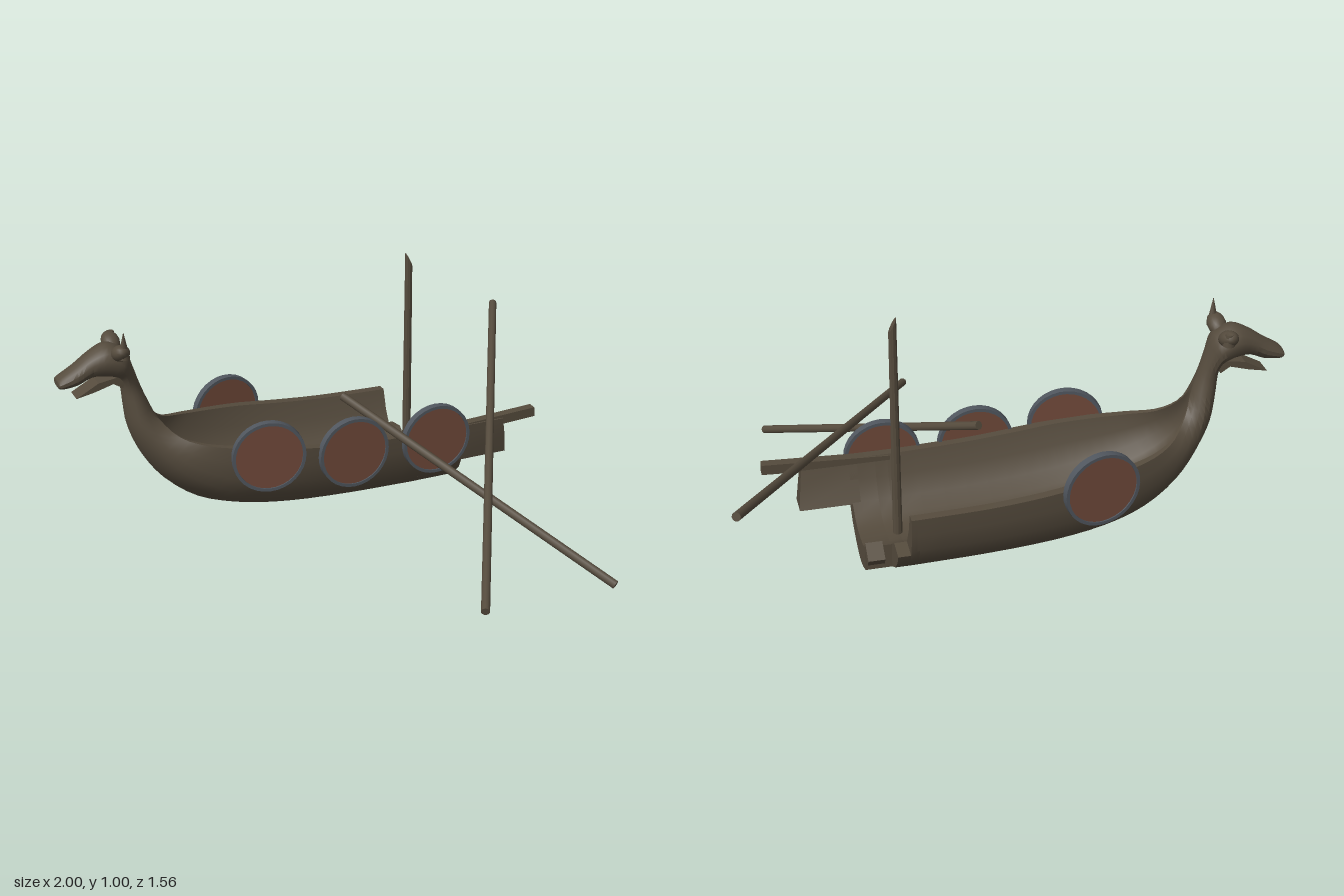
import * as THREE from 'three';
import { toCreasedNormals } from 'three/addons/utils/BufferGeometryUtils.js';

const wood = new THREE.MeshStandardMaterial({ color: 0x554b3d, side: THREE.DoubleSide });
const leather = new THREE.MeshStandardMaterial({ color: 0x70493a });
const iron = new THREE.MeshStandardMaterial({ color: 0x50565e, side: THREE.DoubleSide });

// Half cross-section as [half-width share, height share]: outer skin keel to rail, inner skin rail to floor
const OUTER = [[0, 0], [0.17, 0.02], [0.4, 0.09], [0.65, 0.21], [0.83, 0.36], [0.94, 0.55], [0.99, 0.78], [1, 1]];
const INNER = [[0.86, 1], [0.76, 0.75], [0.6, 0.52], [0.4, 0.4], [0.2, 0.345], [0, 0.34]];

// Closed ring; k blends from open hull (0) to solid oval neck (1)
function section(k) {
  const mix = THREE.MathUtils.lerp;
  const out = OUTER.map(([f, v], i) => {
    const a = Math.PI * i / (OUTER.length - 1);
    return [mix(f, Math.sin(a), k), mix(v, (1 - Math.cos(a)) / 2, k)];
  });
  const inn = INNER.map(([f, v]) => [f * (1 - k), mix(v, 1, k)]);
  const flip = ([f, v]) => [-f, v];
  return [
    ...out.slice(1).reverse().map(flip), ...out,
    ...inn, ...inn.slice(0, -1).reverse().map(flip),
  ];
}

// Stations from stern to snout: keel x, keel y, top x, top y, half-width, solidity
const STATIONS = [
  [0.37, 0.047, 0.37, 0.35, 0.24, 0],
  [0.1, 0.055, 0.12, 0.358, 0.242, 0],
  [-0.15, 0.072, -0.08, 0.375, 0.24, 0],
  [-0.35, 0.105, -0.23, 0.395, 0.23, 0],
  [-0.5, 0.16, -0.37, 0.412, 0.205, 0],
  [-0.62, 0.255, -0.49, 0.43, 0.168, 0],
  [-0.7, 0.37, -0.58, 0.458, 0.125, 0.1],
  [-0.745, 0.48, -0.64, 0.52, 0.09, 0.45],
  [-0.758, 0.57, -0.67, 0.59, 0.062, 0.85],
  [-0.764, 0.64, -0.695, 0.66, 0.046, 1],
  [-0.772, 0.68, -0.72, 0.74, 0.055, 1],
  [-0.79, 0.7, -0.745, 0.8, 0.072, 1],
  [-0.83, 0.71, -0.81, 0.832, 0.07, 1],
  [-0.875, 0.712, -0.875, 0.806, 0.057, 1],
  [-0.93, 0.69, -0.93, 0.768, 0.052, 1],
  [-0.985, 0.685, -0.985, 0.734, 0.045, 1],
  [-1, 0.695, -1, 0.72, 0.036, 1],
  [-1, 0.708, -1, 0.708, 0, 1],
];

function hullGeometry() {
  const curve = (pick) => new THREE.CatmullRomCurve3(
    STATIONS.map((s) => new THREE.Vector3(...pick(s))), false, 'catmullrom');
  const keel = curve((s) => [s[0], s[1], s[5]]);
  const rail = curve((s) => [s[2], s[3], s[4]]);
  const steps = (STATIONS.length - 1) * 3, n = section(0).length;
  const pos = [], idx = [];
  for (let i = 0; i <= steps; i++) {
    const a = keel.getPoint(i / steps), b = rail.getPoint(i / steps);
    for (const [f, v] of section(THREE.MathUtils.clamp(a.z, 0, 1))) {
      pos.push(a.x + (b.x - a.x) * v, a.y + (b.y - a.y) * v, Math.max(b.z, 0) * f);
    }
    if (i === steps) break;
    for (let j = 0; j < n; j++) {
      const p = i * n + j, q = i * n + (j + 1) % n;
      idx.push(p, q, p + n, q, q + n, p + n);
    }
  }
  const g = new THREE.BufferGeometry();
  g.setAttribute('position', new THREE.Float32BufferAttribute(pos, 3));
  g.setIndex(idx);
  return toCreasedNormals(g, 0.6);
}

// Straight piece of hull cross-section between two x positions
function sternPiece(points, x0, x1) {
  const shape = new THREE.Shape(points.map(([f, v]) => new THREE.Vector2(-f * 0.24, 0.047 + v * 0.303)));
  const g = new THREE.ExtrudeGeometry(shape, { depth: x1 - x0, bevelEnabled: false });
  return toCreasedNormals(g.rotateY(Math.PI / 2).translate(x0, 0, 0), 0.6);
}

function add(parent, name, geometry, material = wood) {
  const m = new THREE.Mesh(geometry, material);
  m.name = name;
  parent.add(m);
  return m;
}

function makeShield(x, y, z, turn) {
  const shield = new THREE.Group();
  shield.name = 'shield';
  add(shield, 'shieldFace', new THREE.CylinderGeometry(0.13, 0.13, 0.018, 32).rotateX(Math.PI / 2), leather);
  const profile = [[0.128, -0.014], [0.14, -0.014], [0.14, 0.014], [0.128, 0.014], [0.128, -0.014]]
    .map((p) => new THREE.Vector2(...p));
  const rim = new THREE.LatheGeometry(profile, 32).rotateX(Math.PI / 2);
  add(shield, 'shieldRim', toCreasedNormals(rim, 0.6), iron);
  shield.position.set(x, y, z);
  shield.rotation.y = turn;
  return shield;
}

function addOar(parent, from, to) {
  const a = new THREE.Vector3(...from), b = new THREE.Vector3(...to);
  const oar = add(parent, 'oar', new THREE.CylinderGeometry(0.016, 0.016, a.distanceTo(b), 10));
  oar.position.copy(a).lerp(b, 0.5);
  oar.quaternion.setFromUnitVectors(new THREE.Vector3(0, 1, 0), b.sub(a).normalize());
}

export function createModel() {
  const model = new THREE.Group();
  model.name = 'wreckedLongship';
  const ship = new THREE.Group();
  ship.name = 'ship';
  ship.position.z = -0.375;
  model.add(ship);

  // Hull sweeping up into neck and beast head
  add(ship, 'hullAndFigurehead', hullGeometry());

  // Broken stern, losing more of the far wall at each step
  const ring = section(0);
  add(ship, 'sternEnd', sternPiece(ring, 0.36, 0.39));
  add(ship, 'brokenWallStep', sternPiece([[-0.9, 0.48], ...ring.filter(([f, v]) => f > -0.84 && (f > 0 || v < 0.55))], 0.39, 0.435));
  add(ship, 'brokenFloor', sternPiece(ring.filter(([f]) => f > -0.5), 0.435, 0.53));
  const wall = sternPiece([[0.93, 0.5], [0.99, 0.78], [1, 1], [0.86, 1], [0.76, 0.75], [0.58, 0.5]], 0.5, 0.72);
  const wp = wall.attributes.position;
  for (let i = 0; i < wp.count; i++) {
    if (wp.getX(i) > 0.6) wp.setX(i, 0.72 - (wp.getY(i) - 0.2) * 0.15);
  }
  add(ship, 'brokenWall', wall);
  const splinter = add(ship, 'splinteredFloor', new THREE.BoxGeometry(0.06, 0.035, 0.07));
  splinter.position.set(0.5, 0.16, -0.125);
  splinter.rotation.x = -0.6;
  const rail = add(ship, 'brokenRail', new THREE.BoxGeometry(0.46, 0.038, 0.035));
  rail.position.set(0.61, 0.338, 0.217);
  rail.rotation.z = 0.05;

  // Lower jaw
  const jaw = new THREE.Shape([[-0.94, 0.648], [-0.87, 0.662], [-0.8, 0.682], [-0.765, 0.66], [-0.75, 0.71], [-0.855, 0.694]]
    .map((p) => new THREE.Vector2(...p)));
  add(ship, 'lowerJaw', new THREE.ExtrudeGeometry(jaw, { depth: 0.07, bevelEnabled: false }).translate(0, 0, -0.035));

  // Ears: one whole, one snapped short
  for (const s of [1, -1]) {
    const ear = add(ship, 'ear', new THREE.SphereGeometry(1, 16, 10));
    ear.scale.set(0.034, 0.03, 0.05);
    ear.position.set(-0.775, 0.808, s * 0.06);
    ear.rotation.x = -s * 0.45;
    const tall = s > 0 ? 0.1 : 0.045;
    const tip = add(ship, 'earTip', new THREE.CylinderGeometry(s > 0 ? 0.001 : 0.014, 0.022, tall, 10));
    tip.position.set(-0.768, 0.795 + tall / 2, s * 0.084);
    tip.rotation.x = s * 0.08;
  }

  // Snapped mast
  const mast = new THREE.CylinderGeometry(0.014, 0.017, 0.86, 10);
  const mp = mast.attributes.position;
  for (let i = 0; i < mp.count; i++) {
    if (mp.getY(i) > 0) mp.setY(i, mp.getY(i) - (mp.getX(i) + 0.014) * 2);
  }
  add(ship, 'mast', toCreasedNormals(mast, 0.6)).position.set(0.395, 0.57, 0);

  // Shields along the rails
  model.add(
    makeShield(-0.28, 0.375, -0.147, -0.15),
    makeShield(0.055, 0.335, -0.128, 0),
    makeShield(0.4, 0.325, -0.128, 0),
    makeShield(-0.28, 0.375, -0.607, 0.15),
  );

  // Loose oars
  addOar(model, [0.15, 0.105, 0.77], [0.985, 0.562, -0.775]);
  addOar(model, [0.08, 0.495, -0.29], [0.738, 0.018, 0.67]);
  return model;
}
